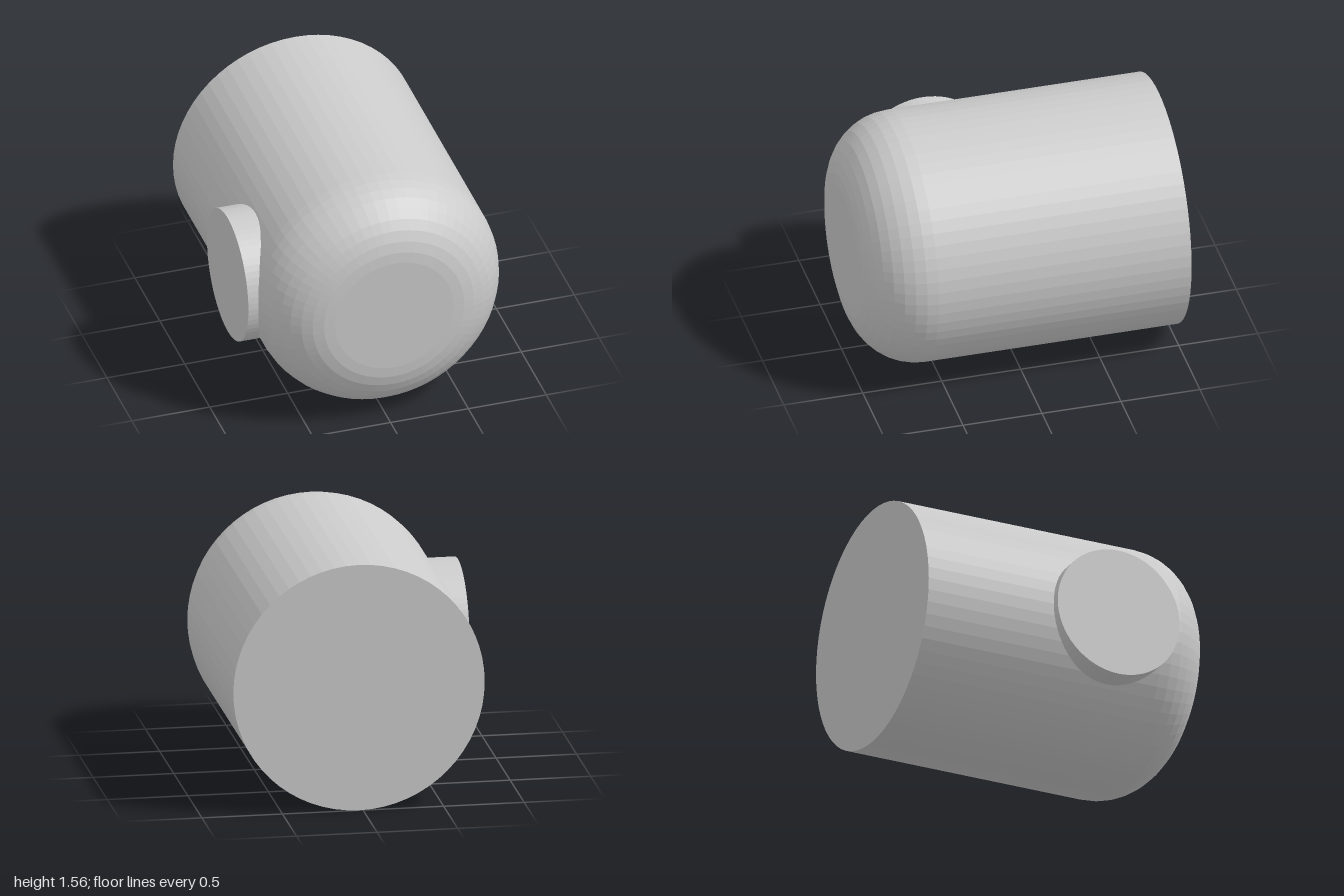
import * as THREE from 'three';

export function createModel() {
  const group = new THREE.Group();
  const material = new THREE.MeshStandardMaterial({ color: 0xcccccc, flatShading: true });

  // Main body: a cylinder along z with a flat back and a filleted front
  const radius = 0.78, fillet = 0.4, steps = 9;
  const profile = [new THREE.Vector2(0, -1), new THREE.Vector2(radius, -1)];
  for (let i = 0; i <= steps; i++) {
    const a = (i / steps) * Math.PI / 2;
    profile.push(new THREE.Vector2(
      radius - fillet + fillet * Math.cos(a),
      1 - fillet + fillet * Math.sin(a)
    ));
  }
  profile.push(new THREE.Vector2(0, 1));
  const body = new THREE.Mesh(new THREE.LatheGeometry(profile, 64), material);
  body.name = 'body';
  body.rotation.x = Math.PI / 2;
  body.position.set(0.025, radius, 0);
  group.add(body);

  // Side boss: a short round stub that runs into the body wall
  const outer = -0.81, inner = -0.5;
  const boss = new THREE.Mesh(
    new THREE.CylinderGeometry(0.415, 0.415, inner - outer, 64), material);
  boss.name = 'sideBoss';
  boss.rotation.z = Math.PI / 2;
  boss.position.set((outer + inner) / 2, 0.785, 0.267);
  group.add(boss);

  return group;
}
